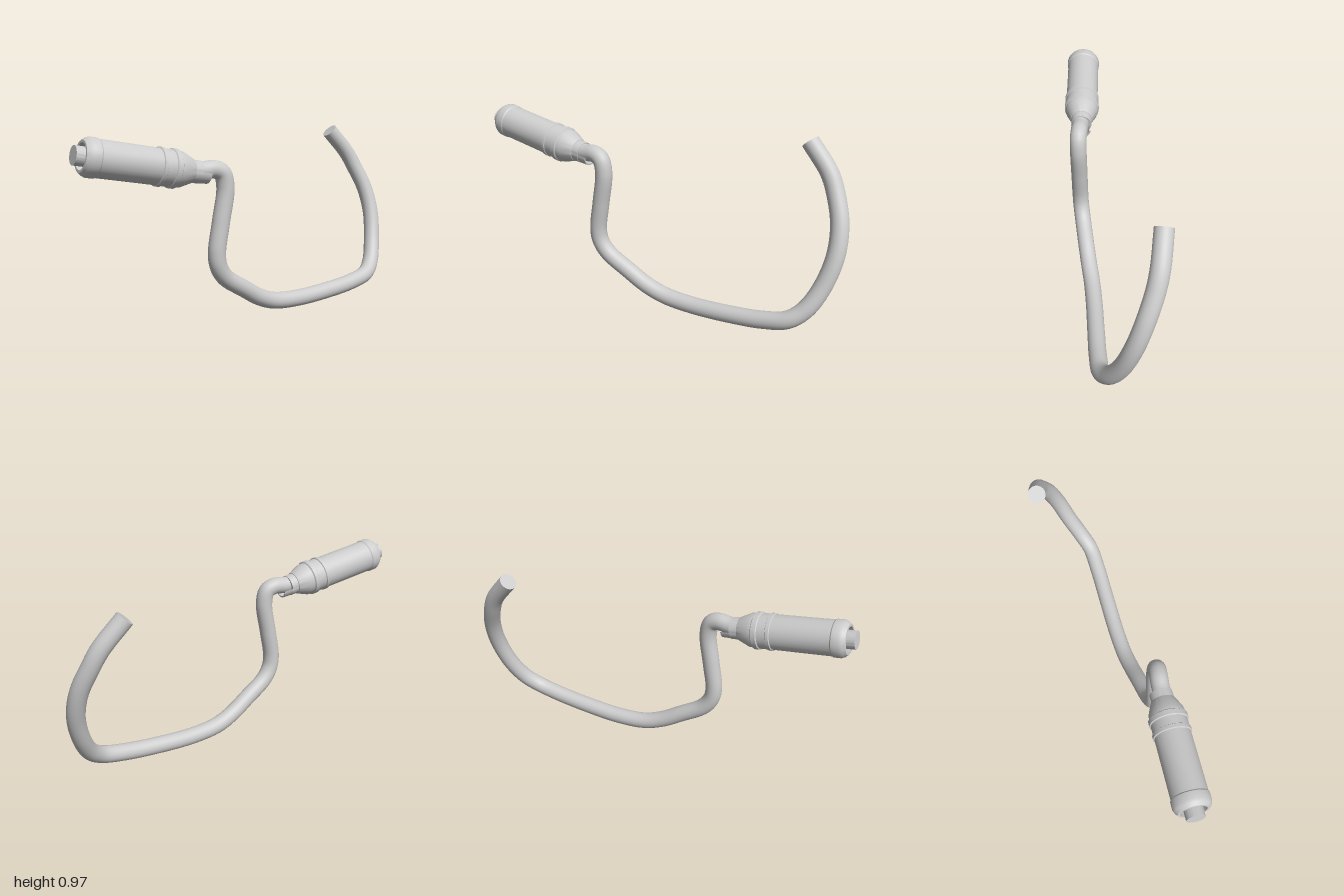
import * as THREE from 'three';
import { toCreasedNormals } from 'three/addons/utils/BufferGeometryUtils.js';

export function createModel() {
  const model = new THREE.Group();
  model.name = 'cableWithConnector';
  const grey = new THREE.MeshStandardMaterial({ color: 0xcccccc });
  grey.name = 'light grey';

  const add = (parent, name, geometry) => {
    const mesh = new THREE.Mesh(geometry, grey);
    mesh.name = name;
    parent.add(mesh);
    return mesh;
  };
  // Profiles are [radius, distance along the axis]
  const lathe = (profile, start = 0, sweep = Math.PI * 2) => toCreasedNormals(
    new THREE.LatheGeometry(profile.map(([r, s]) => new THREE.Vector2(r, s)), 48, start, sweep), 0.5);

  // Cable centre line, from inside the connector to the free end
  const path = new THREE.CatmullRomCurve3([
    [-0.43, 0.797, 0.183], [-0.35, 0.79, 0.182], [-0.285, 0.793, 0.183], [-0.243, 0.772, 0.185],
    [-0.226, 0.7, 0.185], [-0.252, 0.53, 0.185], [-0.275, 0.38, 0.185], [-0.265, 0.31, 0.181],
    [-0.222, 0.246, 0.17], [-0.099, 0.166, 0.145], [0.008, 0.102, 0.122], [0.115, 0.064, 0.1],
    [0.275, 0.051, 0.078], [0.489, 0.062, 0.056], [0.676, 0.085, 0.036], [0.8, 0.118, 0.014],
    [0.869, 0.176, -0.028], [0.922, 0.289, -0.085], [0.953, 0.449, -0.14], [0.938, 0.594, -0.185],
    [0.885, 0.727, -0.225], [0.837, 0.813, -0.242], [0.72, 0.942, -0.255],
  ].map((p) => new THREE.Vector3(...p)), false, 'centripetal');
  const cableRadius = 0.045;
  add(model, 'cable', new THREE.TubeGeometry(path, 200, cableRadius, 28));

  // Flat cut at the free end
  const cap = add(model, 'cableEnd', new THREE.CircleGeometry(cableRadius, 28));
  cap.position.copy(path.getPointAt(1));
  cap.quaternion.setFromUnitVectors(new THREE.Vector3(0, 0, 1), path.getTangentAt(1));

  // Connector, built along its own y axis and then laid over
  const connector = new THREE.Group();
  connector.name = 'connector';
  connector.position.set(-0.992, 0.889, 0.206);
  connector.quaternion.setFromUnitVectors(
    new THREE.Vector3(0, 1, 0), new THREE.Vector3(1, -0.17, -0.045).normalize());
  model.add(connector);

  add(connector, 'plugCore', lathe([[0, 0], [0.045, 0], [0.045, 0.14]]));

  // Hollow shell with a bevelled nose, two grip rings and a tapered back
  add(connector, 'shell', lathe([
    [0.03, 0.13], [0.062, 0.13], [0.062, 0.035], [0.074, 0.035], [0.086, 0.05], [0.092, 0.065],
    [0.092, 0.1], [0.088, 0.106], [0.088, 0.405],
    [0.094, 0.408], [0.094, 0.425], [0.089, 0.428], [0.089, 0.472],
    [0.095, 0.476], [0.095, 0.5], [0.088, 0.505], [0.086, 0.53],
    [0.06, 0.59], [0.056, 0.592],
  ]));

  // Neck that grips the cable, with its upper half cut away at the end
  add(connector, 'neck', lathe([[0.056, 0.58], [0.056, 0.632], [0.03, 0.632]]));
  add(connector, 'neckTongue', lathe(
    [[0.046, 0.63], [0.054, 0.63], [0.052, 0.682], [0.044, 0.682], [0.046, 0.63]].slice(1), 0, Math.PI));

  return model;
}
